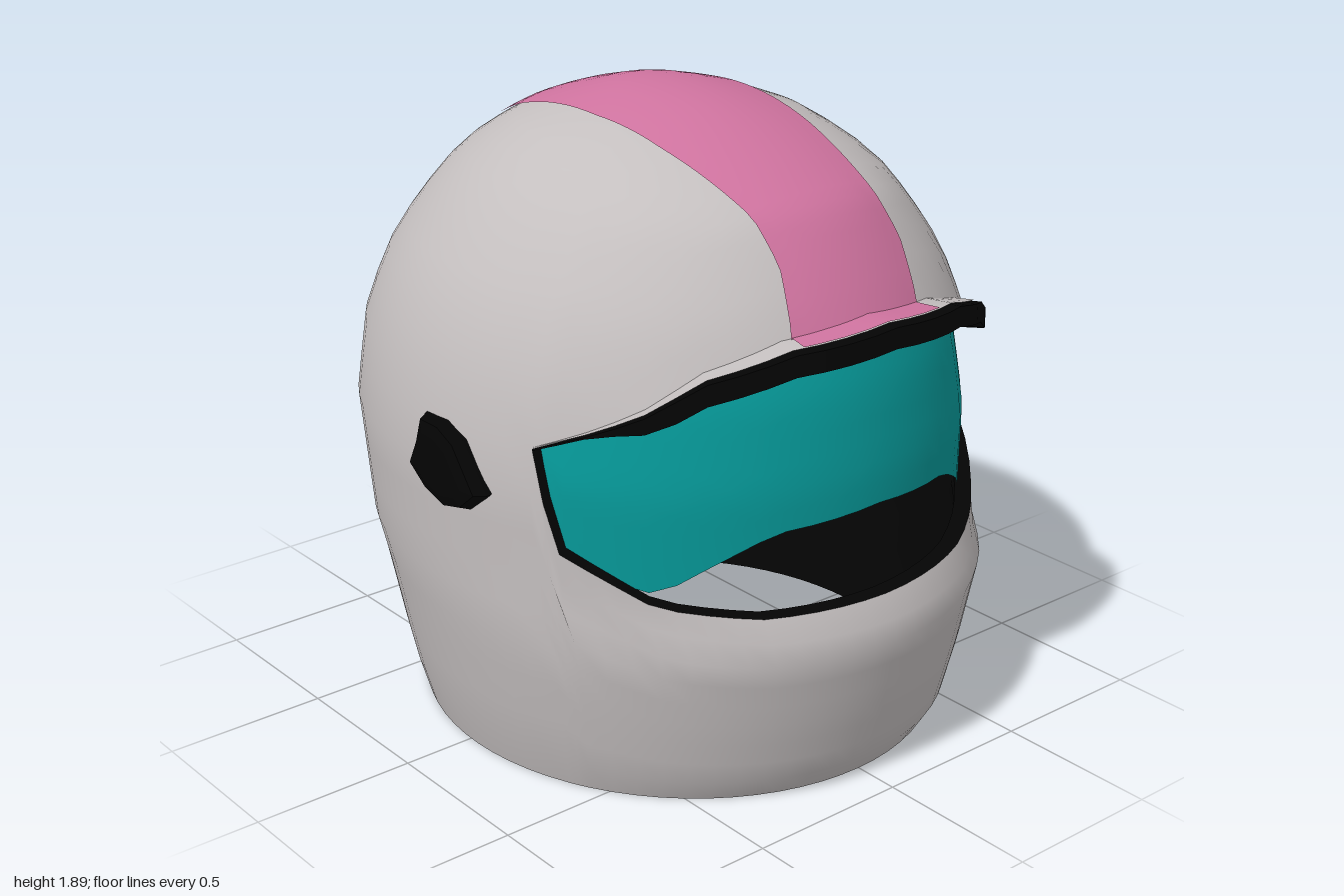
import * as THREE from 'three';
import { mergeGeometries, mergeVertices } from 'three/addons/utils/BufferGeometryUtils.js';

const D = Math.PI / 180, TOP = 1.88;

// shell cross-sections: height, half width, front z, back z
const PROFILE = [
  [0, .775, .86, -.785], [.02, .79, .89, -.8], [.25, .835, .95, -.865], [.5, .88, 1, -.925],
  [.6, .892, .945, -.95], [.95, .908, .95, -1], [1.2, .865, .91, -.975], [1.4, .785, .83, -.885],
  [1.65, .595, .655, -.69], [1.78, .415, .41, -.48], [1.85, .2, .2, -.27], [TOP, 0, -.08, -.08],
];
// edges by angle from the front, in degrees
const LOWER = [[0, .6], [25, .605], [40, .64], [45, .66], [52, .72], [60, .78], [64.6, 1.07], [180, 1.07]];
const UPPER = [[0, 1.38], [20, 1.355], [35, 1.29], [45, 1.2], [64.6, 1.07], [180, 1.07]];
const VISOR_LOW = [[0, .865], [22, .84], [33, .76], [43, .67], [48, .675], [55, .73], [60, .77], [64.6, 1.05]];
// stripe edges from brow (0) to nape (1): distance along, right x, left x
const STRIPE = [
  [0, -.25, .21], [.06, -.21, .25], [.11, -.22, .23], [.21, -.27, .25], [.3, -.285, .27], [.4, -.27, .3],
  [.49, -.25, .25], [.55, -.24, .2], [.62, -.2, .21], [.68, -.22, .24], [1, -.22, .22],
];

// straight-line lookup in a table
function lookup(table, x, col = 1, warp = (v) => v) {
  let i = 0;
  while (i < table.length - 2 && x > table[i + 1][0]) i++;
  const a = table[i], b = table[i + 1];
  const t = (warp(x) - warp(a[0])) / (warp(b[0]) - warp(a[0]));
  return a[col] + (b[col] - a[col]) * THREE.MathUtils.clamp(t, 0, 1);
}
const dome = (y) => Math.sqrt(Math.max(0, TOP - y));

function ring(y) {
  const [w, f, b] = [1, 2, 3].map((c) => lookup(PROFILE, y, c, dome));
  return { w, c: (f + b) / 2, a: (f - b) / 2 };
}

// point on the shell; k scales it in or out, lift raises it
function shellPoint(deg, y, k = 1, lift = 0) {
  const r = ring(y);
  return [Math.sin(deg * D) * r.w * k, y + lift, r.c + Math.cos(deg * D) * r.a * k];
}
const innerPoint = (deg, y) => shellPoint(deg, y, .945, -.06 * Math.max(0, (y - 1.1) / .78));

// surface from a rule over columns and rows
function grid(cols, rows, fn) {
  const pos = [], idx = [];
  for (let j = 0; j <= rows; j++) for (const c of cols) pos.push(...fn(c, j / rows));
  const n = cols.length;
  for (let j = 0; j < rows; j++) for (let i = 0; i < n - 1; i++) {
    const a = j * n + i;
    idx.push(a, a + 1, a + n, a + 1, a + n + 1, a + n);
  }
  const g = new THREE.BufferGeometry();
  g.setAttribute('position', new THREE.Float32BufferAttribute(pos, 3));
  g.setIndex(idx);
  g.computeVertexNormals();
  return g;
}
function weld(parts) {
  const g = mergeGeometries(parts);
  g.deleteAttribute('normal');
  const welded = mergeVertices(g, 1e-4);
  welded.computeVertexNormals();
  return welded;
}

const half = [];
for (let d = 0; d <= 60; d += 5) half.push(d);
half.push(62.3, 64.6);
for (let d = 70; d <= 180; d += 5) half.push(d);
const mirrored = (list) => [...list.slice(1).reverse().map((d) => -d), ...list];
const AROUND = mirrored(half);
const OPENING = mirrored(half.filter((d) => d <= 64.6));

const low = (d) => lookup(LOWER, Math.abs(d));
const up = (d) => lookup(UPPER, Math.abs(d));
const lipReach = (d) => .13 * Math.cos(d * 1.39 * D);

// chin and sides below the opening line, crown above it
function shell(point) {
  return weld([
    grid(AROUND, 9, (d, v) => point(d, low(d) * v)),
    grid(AROUND, 14, (d, v) => point(d, TOP - (TOP - up(d)) * (1 - v) ** 2)),
  ]);
}

// point over the crown at a sideways offset x, found along a ray
function stripePoint(x, deg) {
  let lo = 0, hi = 1.6;
  for (let i = 0; i < 40; i++) {
    const t = (lo + hi) / 2, y = .9 + t * Math.sin(deg * D), z = t * Math.cos(deg * D);
    const r = ring(Math.min(y, TOP));
    const inside = y < TOP && (x / r.w) ** 2 + ((z - r.c) / r.a) ** 2 < 1;
    if (inside) lo = t; else hi = t;
  }
  const t = lo + .006;
  return [x, .9 + t * Math.sin(deg * D), t * Math.cos(deg * D)];
}

export function createModel() {
  const mat = (name, color, side = THREE.FrontSide) => {
    const m = new THREE.MeshStandardMaterial({ color, side });
    m.name = name;
    return m;
  };
  const grey = mat('shell grey', 0xc4bfbf);
  const pink = mat('stripe pink', 0xcf739f);
  const teal = mat('visor teal', 0x069999, THREE.DoubleSide);
  const black = mat('trim black', 0x040404, THREE.DoubleSide);

  const model = new THREE.Group();
  model.name = 'helmet';
  const add = (name, geometry, material) => {
    const m = new THREE.Mesh(geometry, material);
    m.name = name;
    model.add(m);
    return m;
  };

  add('outerShell', shell(shellPoint), grey);
  add('innerLiner', shell(innerPoint), black);

  // rims joining shell and liner
  const rim = (cols, edge) => grid(cols, 1, (d, v) => (v ? innerPoint : shellPoint)(d, edge(d)));
  add('neckRim', rim(AROUND, () => 0), black);
  add('openingLowerRim', rim(OPENING, low), black);
  add('openingUpperRim', rim(OPENING, up), black);

  // brow lip: a closed four-sided section swept round the top of the opening
  const taper = (d) => THREE.MathUtils.clamp((54 - Math.abs(d)) / 12, .08, 1);
  const lip = grid(OPENING, 4, (d, v) => {
    const side = Math.round(v * 4) % 4;
    const outer = side === 1 || side === 2;
    const lift = (side < 2 ? -.05 : .012) * taper(d);
    return shellPoint(d, up(d), outer ? 1 + lipReach(d) : .96, lift);
  }).toNonIndexed();
  lip.computeVertexNormals();
  add('browLip', lip, black);

  // painted top of the lip, flaring out of the shell, with the stripe's front end on it
  const flare = (cols, lift) => grid(cols, 2, (d, v) =>
    shellPoint(d, up(d), 1 + lipReach(d) * .7 * (1 - v) - .01 * v, lift + .012 * taper(d)));
  add('browFlare', flare(OPENING, .004), grey);
  add('stripeFront', flare([-18, -15, -10, -5, 0, 5, 10, 15], .008), pink);

  // curved visor filling the upper part of the opening
  add('visor', grid(OPENING, 8, (d, v) => {
    const bottom = lookup(VISOR_LOW, Math.abs(d)), top = up(d) - .01;
    return shellPoint(d, bottom + (top - bottom) * v, .957 - .01 * Math.abs(d) / 64.6);
  }), teal);

  // stripe from brow over the crown to the nape
  const across = [];
  for (let i = 0; i <= 10; i++) across.push(i / 10);
  add('stripe', grid(across, 70, (s, v) => {
    const x = THREE.MathUtils.lerp(lookup(STRIPE, v, 1), lookup(STRIPE, v, 2), s);
    return stripePoint(x, 30.5 + 196 * v);
  }), pink);

  // visor pivots, one each side
  const outline = [[.28, .91], [.17, 1.05], [.08, 1.09], [0, 1.09], [-.03, 1], [-.07, .92], [0, .87], [.12, .835], [.22, .86]];
  const cz = .1, cy = .95, inset = .64;
  const shape = new THREE.Shape(outline.map(([z, y]) =>
    new THREE.Vector2(-(cz + (z - cz) * inset), cy + (y - cy) * inset)));
  const pivot = new THREE.ExtrudeGeometry(shape, {
    depth: .015, bevelThickness: .045, bevelSize: .045, bevelSegments: 2,
  });
  pivot.rotateY(Math.PI / 2).translate(.868, 0, 0);
  add('leftPivot', pivot, black);
  add('rightPivot', pivot, black).scale.x = -1;

  return model;
}
